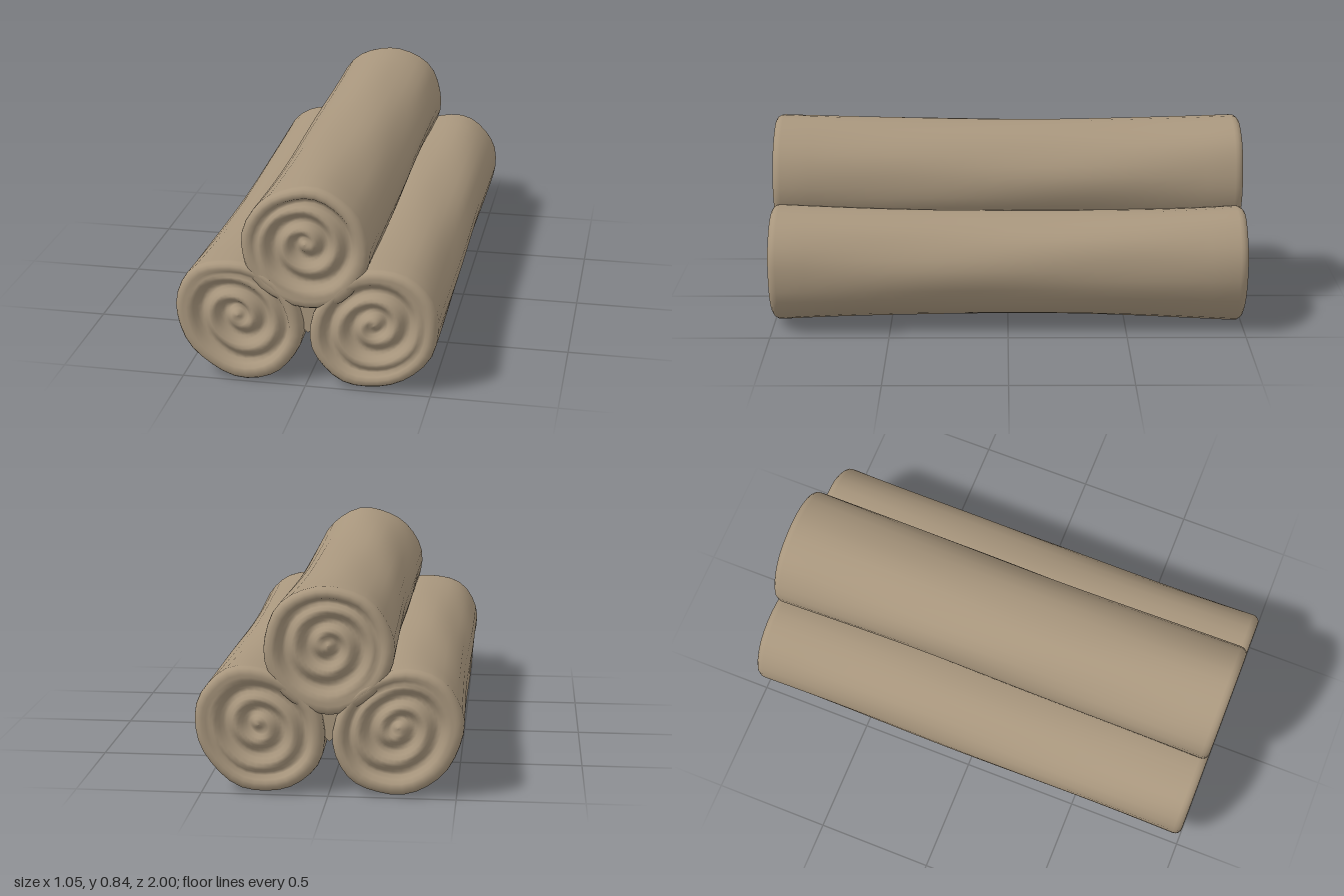
import * as THREE from 'three';

const SEG = 32, R = 0.255, PITCH = 0.092, RIM = 0.035;

// Rings of one roll from front cap centre, over the rim, along the side, to the back cap centre
function rollProfile() {
  const front = [];
  for (let i = 0; i <= 17; i++) front.push([(R - RIM) * i / 17, 1]);
  for (let i = 1; i <= 4; i++) {
    const a = i / 4 * Math.PI / 2;
    front.push([R - RIM + RIM * Math.sin(a), 1 - RIM + RIM * Math.cos(a)]);
  }
  const side = [];
  for (let i = 1; i < 16; i++) side.push([R, (1 - RIM) * (1 - i / 8)]);
  return [...front, ...side, ...front.map(([r, z]) => [r, -z]).reverse()];
}

// Rolled cloth: spiral grooves in both ends, a slight waist and soft dents
function rollGeometry(seed, lean) {
  const pos = [], index = [];
  const rings = rollProfile();
  for (const [r, z0] of rings) {
    for (let j = 0; j < SEG; j++) {
      const t = j / SEG * Math.PI * 2;
      const onCap = Math.abs(z0) > 0.999;
      let z = z0;
      if (onCap) {
        const fade = THREE.MathUtils.smoothstep(r, 0, 0.04) *
          (1 - THREE.MathUtils.smoothstep(r, 0.185, 0.215));
        const groove = 0.5 - 0.5 * Math.cos(2 * Math.PI * r / PITCH - t + seed);
        z -= Math.sign(z0) * (0.036 * groove * fade + 0.012 * (1 - r / R));
      }
      const k = r / R;
      const waist = 1 - z0 * z0;
      const dent = 1 + k * (0.012 * Math.sin(3 * t + seed * 2 + z0 * 2.5) +
        0.008 * Math.sin(5 * t - seed + z0 * 5) + 0.006 * Math.sin(8 * t + seed * 3 - z0 * 3));
      const x = r * dent * Math.cos(t) * (1 - 0.03 * waist);
      const y = r * dent * Math.sin(t) * (1 - 0.11 * waist);
      pos.push(x + lean * y, y + 0.02 * (1 - k), z);
    }
  }
  for (let i = 0; i < rings.length - 1; i++) {
    for (let j = 0; j < SEG; j++) {
      const n = (j + 1) % SEG;
      const a = i * SEG + j, b = a + SEG, c = (i + 1) * SEG + n, d = i * SEG + n;
      index.push(a, b, c, a, c, d);
    }
  }
  const g = new THREE.BufferGeometry();
  g.setAttribute('position', new THREE.Float32BufferAttribute(pos, 3));
  g.setIndex(index);
  g.computeVertexNormals();
  return g;
}

export function createModel() {
  const model = new THREE.Group();
  model.name = 'rolledBundle';
  const cloth = new THREE.MeshStandardMaterial({ color: 0xa8967d });
  cloth.name = 'tan cloth';

  // Three stacked rolls
  const rolls = [
    ['leftRoll', 0.272, 0.253, 0.4, 0.12],
    ['rightRoll', -0.272, 0.253, 2.1, -0.12],
    ['topRoll', 0, 0.575, 4.0, 0],
  ];
  for (const [name, x, y, seed, lean] of rolls) {
    const roll = new THREE.Mesh(rollGeometry(seed, lean), cloth);
    roll.name = name;
    roll.position.set(x, y, 0);
    model.add(roll);
  }

  // Cloth pressed into the hollow between the rolls
  const web = new THREE.Shape();
  web.moveTo(0, 0.2);
  web.lineTo(0.1, 0.3);
  web.lineTo(0.17, 0.46);
  web.lineTo(0, 0.5);
  web.lineTo(-0.17, 0.46);
  web.lineTo(-0.1, 0.3);
  const core = new THREE.Mesh(
    new THREE.ExtrudeGeometry(web, { depth: 1.88, bevelEnabled: false }), cloth);
  core.name = 'innerWeb';
  core.position.z = -0.94;
  model.add(core);
  return model;
}
